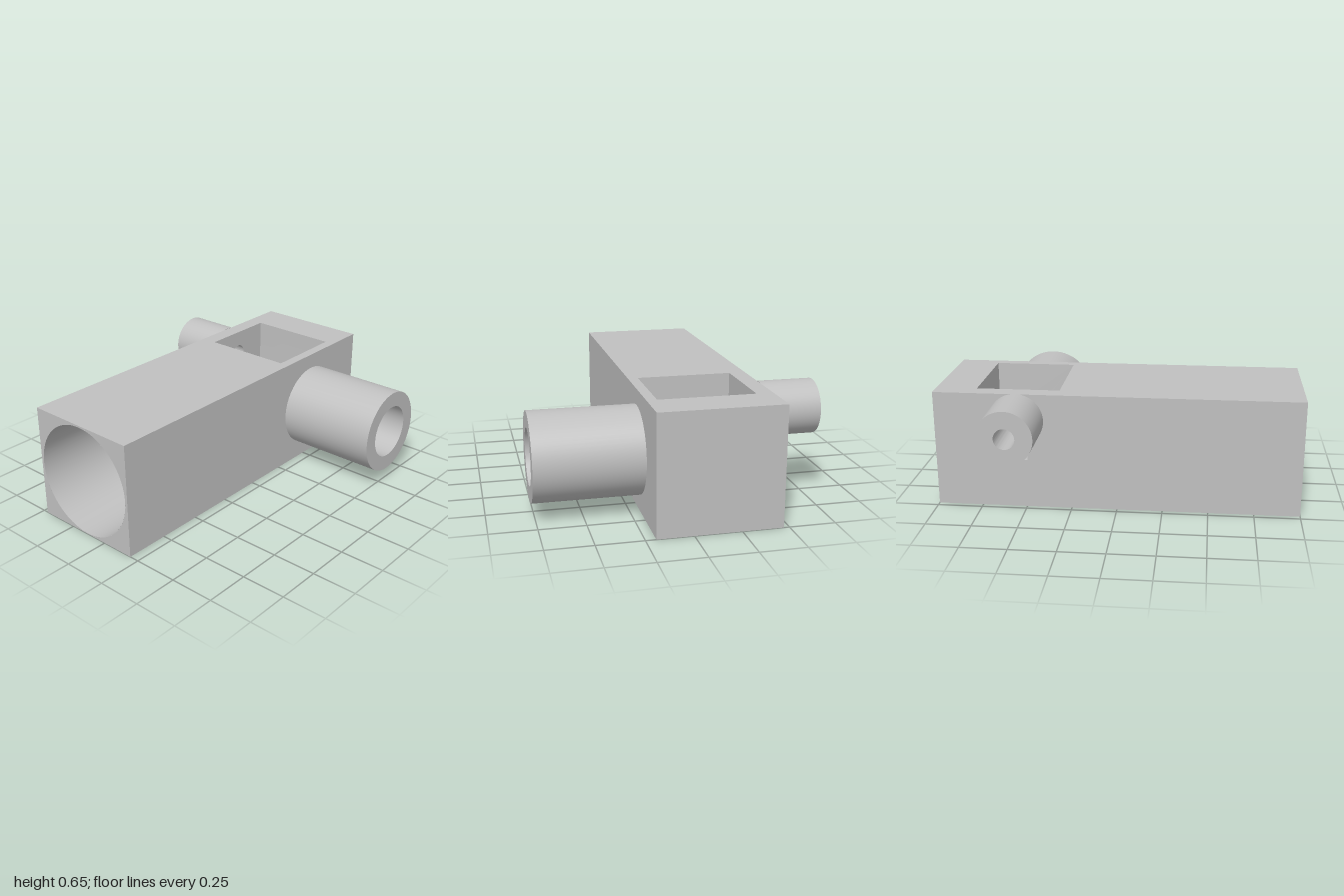
import * as THREE from 'three';
import { toCreasedNormals } from 'three/addons/utils/BufferGeometryUtils.js';

const metal = new THREE.MeshStandardMaterial({ color: 0xc0c0c0, side: THREE.DoubleSide });
metal.name = 'plain grey';

// Main sizes: block limits, shared axis lines and the pocket
const X0 = -0.47, X1 = 0.195, H = 0.65, CX = -0.138, CY = 0.322, CZ = -0.547;
const P0 = -0.38, P1 = 0.14, PR = 0.228, S = 0.046, SX = -0.152, SZ = -0.537, LY = 0.503;

const rect = (a, b, c, d, Type = THREE.Path) =>
  new Type([[a, b], [c, b], [c, d], [a, d]].map(p => new THREE.Vector2(...p)));
const circle = (x, y, r) => new THREE.Path().absarc(x, y, r, 0, Math.PI * 2, true);
const square = (x, y, s) => rect(x - s, y - s, x + s, y + s);

function flip(geo) {
  const a = geo.index.array;
  for (let i = 0; i < a.length; i += 3) [a[i], a[i + 1]] = [a[i + 1], a[i]];
  geo.computeVertexNormals();
  return geo;
}

export function createModel() {
  const group = new THREE.Group();
  group.name = 'boredBlock';

  function add(name, geo) {
    const mesh = new THREE.Mesh(geo, metal);
    mesh.name = name;
    group.add(mesh);
    return mesh;
  }

  // Flat face with holes; axis is the facing direction, side plates are drawn in (-z, y)
  function plate(name, shape, holes, axis, offset, sign = 1) {
    shape.holes.push(...holes);
    const geo = new THREE.ShapeGeometry(shape, 48);
    if (axis === 'x') geo.rotateY(Math.PI / 2);
    if (axis === 'y') geo.rotateX(-Math.PI / 2);
    if (sign < 0) flip(geo);
    add(name, geo).position[axis] = offset;
  }

  // Stepped turned surface along y, as [radius, position] points
  function turned(name, points, segments = 64) {
    const phi = segments === 4 ? Math.PI / 4 : 0;
    const geo = new THREE.LatheGeometry(points.map(p => new THREE.Vector2(...p)), segments, phi);
    return add(name, toCreasedNormals(geo, 0.6));
  }

  // Outer block faces
  const end = () => rect(X0, 0, X1, H, THREE.Shape);
  const side = () => rect(-1, 0, 1, H, THREE.Shape);
  const deck = () => rect(X0, -1, X1, 1, THREE.Shape);
  plate('blockFront', end(), [circle(CX, CY, 0.318)], 'z', 1);
  plate('blockBack', end(), [], 'z', -1, -1);
  plate('blockBottom', deck(), [], 'y', 0, -1);
  plate('blockTop', deck(), [rect(P0, -CZ - PR, P1, -CZ + PR)], 'y', H);
  plate('blockLeftSide', side(), [circle(-CZ, CY, 0.2)], 'x', X1);
  plate('blockRightSide', side(), [circle(-CZ, LY, 0.1), square(-SZ, CY, S)], 'x', X0, -1);

  // Pocket end walls with a round bottom
  const pocketEnd = () => {
    const s = new THREE.Shape();
    s.moveTo(-CZ + PR, H);
    s.lineTo(-CZ - PR, H);
    s.lineTo(-CZ - PR, CY);
    s.absarc(-CZ, CY, PR, Math.PI, Math.PI * 2, false);
    return s;
  };
  plate('pocketRightWall', pocketEnd(), [circle(-CZ, LY, 0.056), square(-SZ, CY, S)], 'x', P0);
  plate('pocketLeftWall', pocketEnd(), [circle(-CZ, CY, 0.055)], 'x', P1, -1);

  // Pocket trough: the profile swept along x, with a square window in its front wall
  const profile = [[CZ + PR, H], [CZ + PR, CY + S], [CZ + PR, CY]];
  const start = Math.asin(S / PR);
  for (let i = 0; i <= 32; i++) {
    const a = start + (Math.PI - start) * i / 32;
    profile.push([CZ + PR * Math.cos(a), CY - PR * Math.sin(a)]);
  }
  profile.push([CZ - PR, H]);
  const xs = [P0, SX - S, SX + S, P1], pos = [];
  for (let k = 0; k < 3; k++) {
    for (let i = 0; i < profile.length - 1; i++) {
      if (k === 1 && (i === 1 || i === 2)) continue;
      const [z, y] = profile[i], [w, v] = profile[i + 1];
      const a = [xs[k], y, z], b = [xs[k + 1], y, z], c = [xs[k + 1], v, w], d = [xs[k], v, w];
      pos.push(...a, ...b, ...c, ...a, ...c, ...d);
    }
  }
  const trough = new THREE.BufferGeometry();
  trough.setAttribute('position', new THREE.Float32BufferAttribute(pos, 3));
  // Turn the faces towards the inside of the pocket
  for (let i = 0; i < pos.length; i += 9) {
    for (let j = 0; j < 3; j++) {
      const t = pos[i + j];
      pos[i + j] = pos[i + 3 + j];
      pos[i + 3 + j] = t;
    }
  }
  trough.setAttribute('position', new THREE.Float32BufferAttribute(pos, 3));
  add('pocketTrough', toCreasedNormals(trough, 0.6));

  // Large front bore stepping down towards the pocket
  const bore = turned('frontBore', [[0.318, 1], [0.318, 0.55], [0.077, 0.55], [0.077, 0.1], [0.055, 0.1], [0.055, -0.2]]);
  bore.rotation.x = Math.PI / 2;
  bore.position.set(CX, CY, 0);
  plate('boreStep', rect(CX - 0.08, CY - 0.08, CX + 0.08, CY + 0.08, THREE.Shape), [square(SX, CY, S)], 'z', -0.2);

  // Square passages through the pocket's front wall and right wall
  const r = S * Math.SQRT2;
  const frontSlot = turned('frontSquarePassage', [[r, -0.2], [r, CZ + PR]], 4);
  frontSlot.rotation.x = Math.PI / 2;
  frontSlot.position.set(SX, CY, 0);
  const sideSlot = turned('sideSquarePassage', [[r, -X0], [r, -P0]], 4);
  sideSlot.rotation.z = Math.PI / 2;
  sideSlot.position.set(0, CY, SZ);

  // Large and small side tubes with their bores
  const large = turned('largeTube', [[0.241, X1], [0.241, 0.77], [0.153, 0.77], [0.153, 0.2], [0.055, 0.2], [0.055, P1]]);
  large.rotation.z = -Math.PI / 2;
  large.position.set(0, CY, CZ);
  const small = turned('smallTube', [[0.149, -X0], [0.149, 0.772], [0.056, 0.772], [0.056, -P0]]);
  small.rotation.z = Math.PI / 2;
  small.position.set(0, LY, CZ);

  return group;
}
